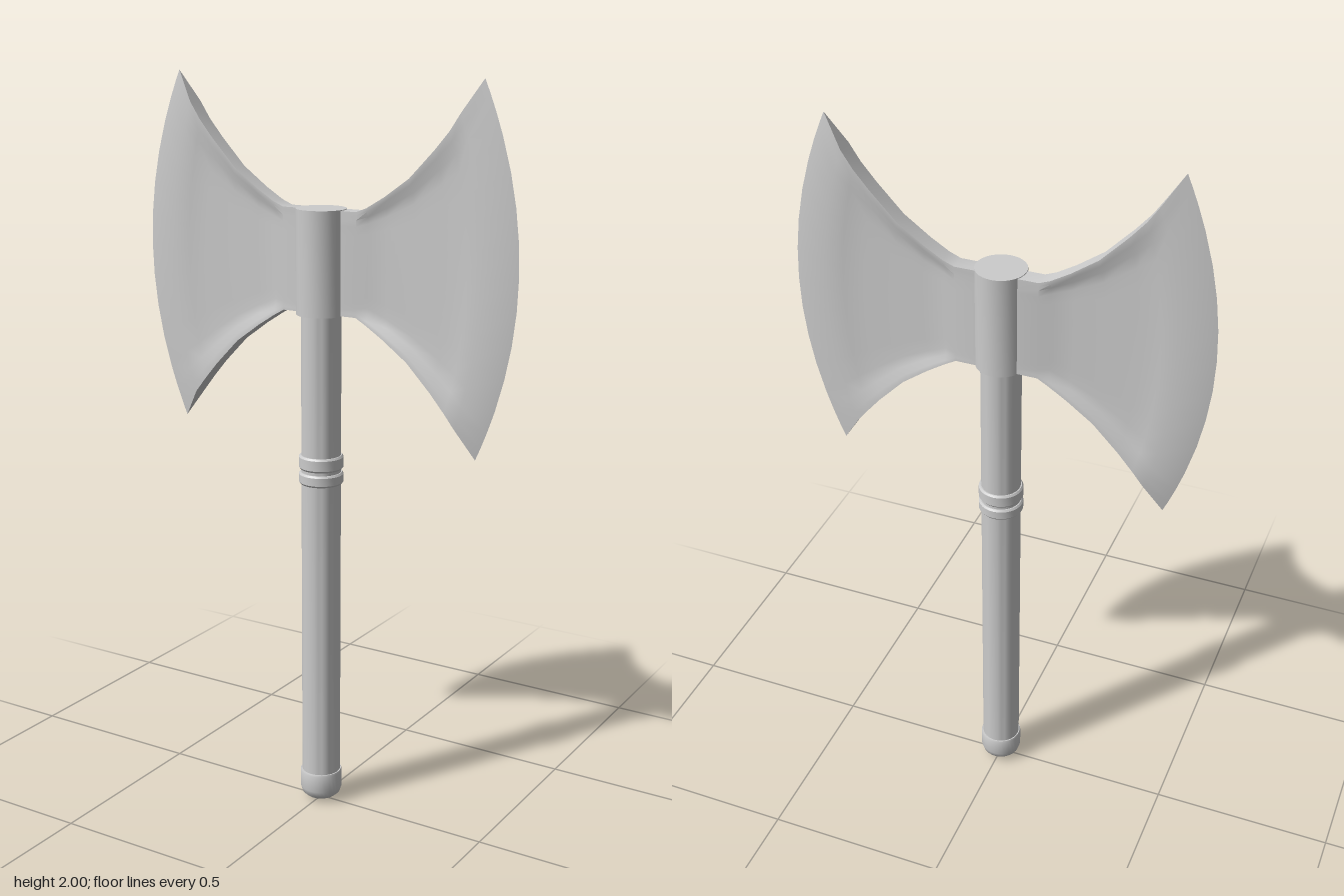
import * as THREE from 'three';
import { toCreasedNormals } from 'three/addons/utils/BufferGeometryUtils.js';

const material = new THREE.MeshStandardMaterial({ color: 0xcccccc });

function addMesh(parent, name, geometry, crease = 0.6) {
  const mesh = new THREE.Mesh(toCreasedNormals(geometry, crease), material);
  mesh.name = name;
  parent.add(mesh);
  return mesh;
}

// Round part turned about the y axis from [radius, y] pairs, bottom to top
function turned(points) {
  return new THREE.LatheGeometry(points.map(([r, y]) => new THREE.Vector2(r, y)), 32);
}

// Blade stations from collar to cutting edge:
// [x at the horns, x at mid height, top y, bottom y, dish amount, half thickness]
const MID = 1.53;
const STATIONS = [
  [0.0, 0.0, 1.663, 1.392, 0, 0.023],
  [0.11, 0.11, 1.663, 1.392, 0, 0.023],
  [0.14, 0.14, 1.675, 1.375, 0.8, 0.023],
  [0.19, 0.2, 1.705, 1.343, 1, 0.023],
  [0.26, 0.28, 1.755, 1.292, 1, 0.023],
  [0.33, 0.365, 1.828, 1.22, 1, 0.023],
  [0.37, 0.42, 1.875, 1.173, 0.75, 0.023],
  [0.4, 0.465, 1.92, 1.135, 0, 0.023],
  [0.45, 0.555, 2.0, 1.057, 0, 0],
];
const ROWS = [-1, -0.93, -0.84, -0.72, -0.54, -0.36, -0.18, 0, 0.18, 0.36, 0.54, 0.72, 0.84, 0.93, 1];

// One half of the head: dished faces, thick rim, bevel down to the edge
function bladeGeometry() {
  const point = (i, j, side) => {
    const [xHorn, xMid, top, bottom, dish, half] = STATIONS[i];
    const s = ROWS[j];
    const x = xHorn + (xMid - xHorn) * (1 - s * s);
    const y = s > 0 ? MID + (top - MID) * s : MID + (MID - bottom) * s;
    const hollow = dish * THREE.MathUtils.smoothstep(1 - Math.abs(s), 0.04, 0.2);
    return [x, y, side * (half - 0.012 * hollow)];
  };
  const positions = [];
  const quad = (a, b, c, d) => positions.push(...a, ...b, ...c, ...a, ...c, ...d);
  const last = ROWS.length - 1;
  for (let i = 0; i < STATIONS.length - 1; i++) {
    for (let j = 0; j < last; j++) {
      quad(point(i, j, 1), point(i + 1, j, 1), point(i + 1, j + 1, 1), point(i, j + 1, 1));
      quad(point(i, j, -1), point(i, j + 1, -1), point(i + 1, j + 1, -1), point(i + 1, j, -1));
    }
    // Top and bottom rim walls
    quad(point(i, last, 1), point(i + 1, last, 1), point(i + 1, last, -1), point(i, last, -1));
    quad(point(i, 0, -1), point(i + 1, 0, -1), point(i + 1, 0, 1), point(i, 0, 1));
  }
  const geometry = new THREE.BufferGeometry();
  geometry.setAttribute('position', new THREE.Float32BufferAttribute(positions, 3));
  return geometry;
}

export function createModel() {
  const model = new THREE.Group();
  model.name = 'doubleAxe';

  // Handle shaft
  addMesh(model, 'shaft', turned([[0, 0.05], [0.053, 0.05], [0.053, 1.4], [0, 1.4]]));

  // Rounded end cap
  addMesh(model, 'pommel', turned([
    [0, 0], [0.025, 0.004], [0.042, 0.012], [0.053, 0.022], [0.058, 0.038],
    [0.058, 0.085], [0.056, 0.09], [0.05, 0.09],
  ]));

  // Pair of grip rings
  for (const [name, y, height] of [['lowerRing', 0.931, 0.032], ['upperRing', 0.972, 0.038]]) {
    addMesh(model, name, turned([
      [0.05, y], [0.056, y], [0.06, y + 0.005],
      [0.06, y + height - 0.005], [0.056, y + height], [0.05, y + height],
    ]));
  }

  // Collar holding the head
  addMesh(model, 'collar', turned([[0, 1.39], [0.066, 1.39], [0.066, 1.665], [0, 1.665]]));

  // Two mirrored blades, set slightly behind the shaft axis
  const head = new THREE.Group();
  head.name = 'head';
  head.position.z = -0.012;
  const blade = bladeGeometry();
  addMesh(head, 'leftBlade', blade);
  addMesh(head, 'rightBlade', blade).rotation.y = Math.PI;
  model.add(head);

  return model;
}
